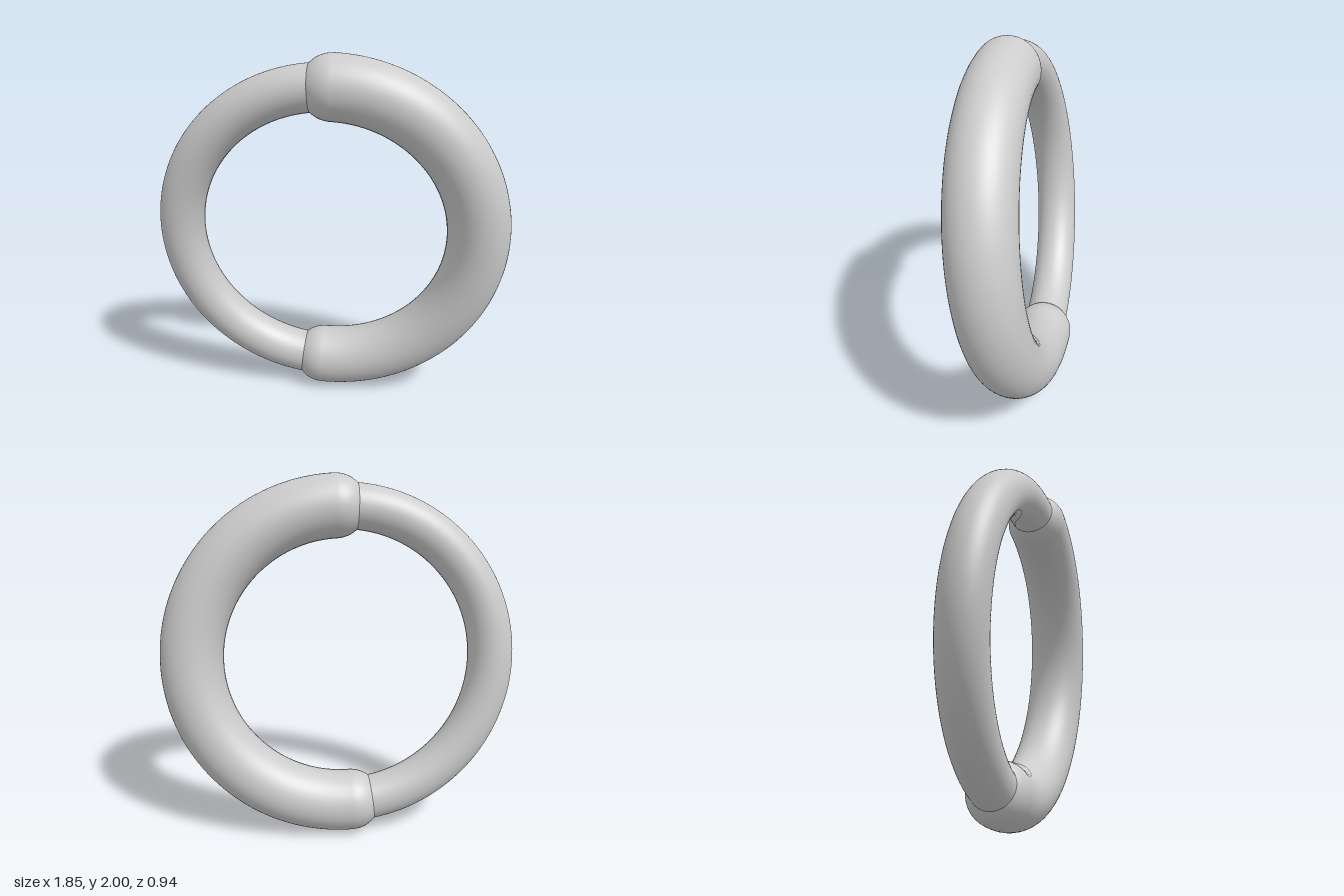
import * as THREE from 'three';

const RING = 0.835;    // centreline radius of the ring
const THICK = 0.1725;  // tube radius of the thick half
const THIN = 0.125;    // tube radius of the thin half

export function createModel() {
  const model = new THREE.Group();
  model.name = 'ring';
  const grey = new THREE.MeshStandardMaterial({ color: 0xcccccc });
  grey.name = 'light grey';

  const add = (geometry, name) => {
    const mesh = new THREE.Mesh(geometry, grey);
    mesh.name = name;
    tilted.add(mesh);
  };

  // The whole ring leans and turns about its centre
  const tilted = new THREE.Group();
  tilted.name = 'tiltedRing';
  const n = new THREE.Vector3(-0.366, -0.114, 0.924).normalize();
  const v = new THREE.Vector3(0, 0.924, 0.114).normalize();
  const u = new THREE.Vector3().crossVectors(v, n);
  tilted.quaternion.setFromRotationMatrix(new THREE.Matrix4().makeBasis(u, v, n));
  tilted.position.set(-0.026, 1, -0.021);
  model.add(tilted);

  // Two half rings
  add(new THREE.TorusGeometry(RING, THICK, 48, 96, Math.PI).rotateZ(-Math.PI / 2), 'thickHalf');
  add(new THREE.TorusGeometry(RING, THIN, 48, 96, Math.PI).rotateZ(Math.PI / 2), 'thinHalf');

  // Rounded ends of the thick half, closing over the thin one
  for (const [side, name] of [[1, 'upperEnd'], [-1, 'lowerEnd']]) {
    add(new THREE.SphereGeometry(THICK, 48, 20, 0, Math.PI * 2, 0, Math.PI / 2)
      .rotateZ(Math.PI / 2).translate(0, side * RING, 0), name);
  }
  return model;
}
